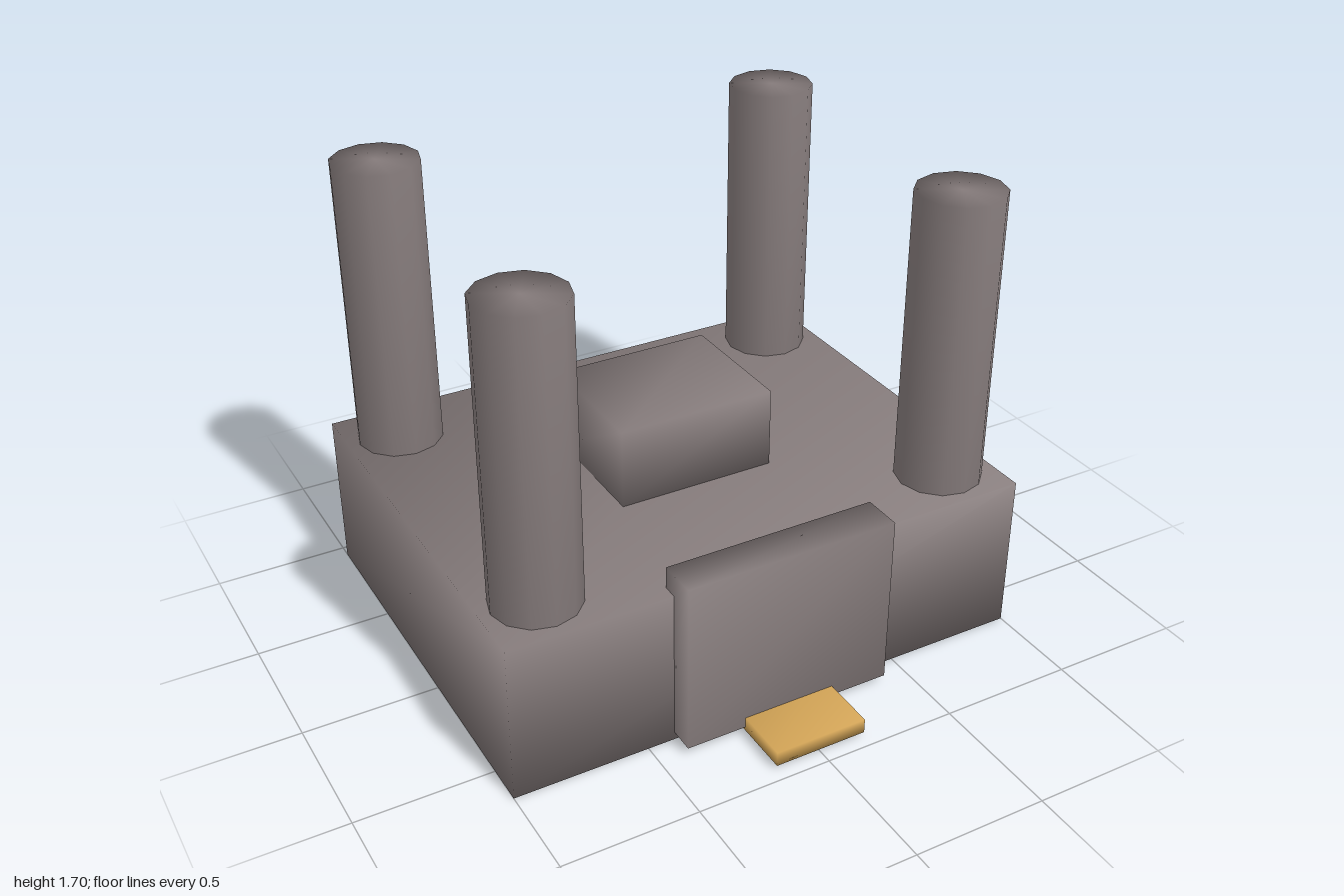
import * as THREE from 'three';
import { mergeVertices } from 'three/addons/utils/BufferGeometryUtils.js';

// Share corners so shading runs smoothly across the edges
function smooth(geometry) {
  geometry.deleteAttribute('normal');
  geometry.deleteAttribute('uv');
  const merged = mergeVertices(geometry, 1e-4);
  merged.computeVertexNormals();
  return merged;
}

export function createModel() {
  const model = new THREE.Group();
  const stone = new THREE.MeshStandardMaterial({ color: 0x857b7b });
  stone.name = 'warm grey stone';
  const gold = new THREE.MeshStandardMaterial({ color: 0xd0a255 });
  gold.name = 'gold';

  function add(name, geometry, material) {
    const mesh = new THREE.Mesh(smooth(geometry), material);
    mesh.name = name;
    model.add(mesh);
    return mesh;
  }

  // Box given by its minimum and maximum corners
  function box(name, [x0, y0, z0], [x1, y1, z1], material) {
    const mesh = add(name, new THREE.BoxGeometry(x1 - x0, y1 - y0, z1 - z0), material);
    mesh.position.set((x0 + x1) / 2, (y0 + y1) / 2, (z0 + z1) / 2);
  }

  box('base', [-1, 0, -0.95], [1, 0.6, 0.65], stone);
  box('centreBlock', [-0.3, 0.6, -0.4], [0.3, 0.9, 0.1], stone);
  box('frontPanel', [-0.4, 0.03, 0.595], [0.4, 0.68, 0.745], stone);
  box('frontStep', [-0.175, 0.015, 0.65], [0.175, 0.07, 0.95], gold);

  // Four corner pillars
  for (const [row, z] of [['front', 0.45], ['back', -0.75]]) {
    for (const [side, x] of [['Left', 0.8], ['Right', -0.8]]) {
      const pillar = add(row + side + 'Pillar', new THREE.CylinderGeometry(0.16, 0.16, 1.1, 12), stone);
      pillar.position.set(x, 1.15, z);
    }
  }
  return model;
}
